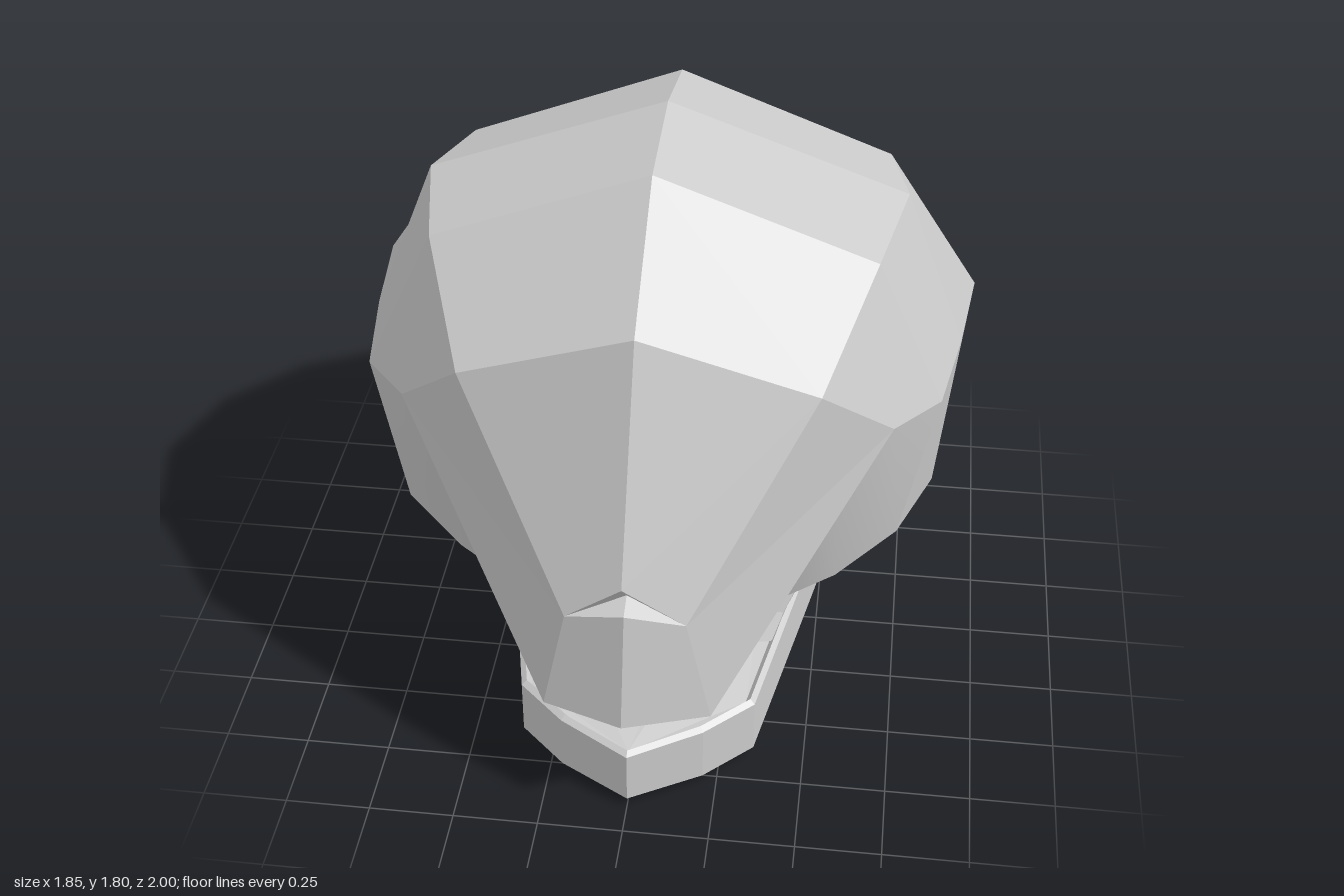
import * as THREE from 'three';
import { toCreasedNormals } from 'three/addons/utils/BufferGeometryUtils.js';

const material = new THREE.MeshStandardMaterial({ color: 0xcccccc });

// One mesh from polygons (corners anticlockwise), each shaded as a single flat panel
function panels(polygons, name) {
  const positions = [], normals = [];
  for (const p of polygons) {
    const [a, b, c, d] = [p[0], p[1], p[2], p[3] ?? p[0]].map((q) => new THREE.Vector3(...q));
    const normal = c.sub(a).cross(d.sub(b)).normalize().toArray();
    for (let i = 1; i < p.length - 1; i++) {
      positions.push(...p[0], ...p[i], ...p[i + 1]);
      normals.push(...normal, ...normal, ...normal);
    }
  }
  const geometry = new THREE.BufferGeometry();
  geometry.setAttribute('position', new THREE.Float32BufferAttribute(positions, 3));
  geometry.setAttribute('normal', new THREE.Float32BufferAttribute(normals, 3));
  const mesh = new THREE.Mesh(geometry, material);
  mesh.name = name;
  return mesh;
}

const flip = ([x, y, z]) => [-x, y, z];

// Add the -x half, keeping the same diagonal in each panel
const mirror = (polygons) => [
  ...polygons,
  ...polygons.map(([first, ...rest]) => [first, ...rest.reverse()].map(flip)),
];

// Close a half outline, running from front centre to back centre, into a ring
const closeRing = (half) => [...half, ...half.slice(1, -1).reverse().map(flip)];

// Side walls through a stack of rings, bottom to top
function loft(rings) {
  const polys = [];
  for (let k = 0; k < rings.length - 1; k++) {
    const lo = rings[k], hi = rings[k + 1], n = lo.length;
    for (let i = 0; i < n; i++) {
      const j = (i + 1) % n;
      polys.push([lo[i], lo[j], hi[j], hi[i]]);
    }
  }
  return polys;
}

// Fill a ring, facing up or down
function cap(ring, up) {
  const contour = ring.map(([x, , z]) => new THREE.Vector2(z, x));
  return THREE.ShapeUtils.triangulateShape(contour, [])
    .map(([a, b, c]) => (up ? [ring[a], ring[b], ring[c]] : [ring[a], ring[c], ring[b]]));
}

function createHead() {
  // Half rows from front to back: crown, temple, side, rim, underside, middle of underside
  const rows = [
    [[0, 1.48, 0.65], [0, 1.76, 0.26], [0, 1.8, -0.1], [0, 1.72, -0.46], [0, 1.53, -0.75], [0, 1.29, -0.945]],
    [[0.5, 1.3, 0.6], [0.63, 1.53, 0.27], [0.7, 1.55, -0.09], [0.64, 1.48, -0.45], [0.5, 1.35, -0.75], [0.28, 1.27, -0.92]],
    [[0.7, 1.1, 0.44], [0.83, 1.1, 0.29], [0.885, 1.08, -0.06], [0.925, 1.06, -0.42], [0.7, 1.04, -0.73], [0.31, 1.03, -0.93]],
    [[0.56, 0.54, 0.42], [0.73, 0.65, 0.33], [0.83, 0.64, 0.05], [0.835, 0.55, -0.38], [0.6, 0.66, -0.65], [0.28, 0.72, -0.88]],
    [[0.42, 0.51, 0.5], [0.56, 0.53, 0.38], [0.58, 0.5, 0.03], [0.67, 0.515, -0.36], [0.4, 0.63, -0.62], [0.2, 0.715, -0.86]],
    [[0, 0.55, 0.5], [0, 0.53, 0.38], [0, 0.5, 0.03], [0, 0.52, -0.32], [0, 0.62, -0.6], [0, 0.715, -0.88]],
  ];
  const polys = [];
  for (let r = 0; r < rows.length - 1; r++) {
    // The first panel below the side row is the hollow cheek, built further down
    for (let i = r === 2 ? 1 : 0; i < 5; i++) {
      polys.push([rows[r + 1][i], rows[r + 1][i + 1], rows[r][i + 1], rows[r][i]]);
    }
  }
  const [crown, temple, side, rim, under, middle] = rows;

  // Back of the head, closing on the centre line
  const nape = [0, 1.02, -1], napeLow = [0, 0.75, -0.92];
  polys.push(
    [crown[5], temple[5], side[5], nape],
    [nape, side[5], rim[5], napeLow],
    [napeLow, rim[5], under[5], middle[5]],
  );

  // Forehead, nose notch, muzzle with its lip, and palate
  const noseTip = [0, 0.87, 0.95], noseCorner = [0.17, 0.71, 0.89], notch = [0, 0.77, 0.85];
  const muzzleTop = [0, 0.745, 0.915], muzzleTip = [0, 0.41, 1], muzzleCorner = [0.24, 0.37, 0.88];
  const lipTip = [0, 0.395, 0.96], lipCorner = [0.23, 0.355, 0.86];
  polys.push(
    [noseTip, noseCorner, temple[0], crown[0]],
    [temple[0], noseCorner, side[0]],
    [side[0], noseCorner, muzzleCorner],
    [noseTip, notch, noseCorner],
    [notch, muzzleTop, noseCorner],
    [muzzleTop, muzzleTip, muzzleCorner, noseCorner],
    [muzzleTip, lipTip, lipCorner, muzzleCorner],
    [lipTip, middle[0], under[0], lipCorner],
  );

  // Hollow cheek behind the muzzle edge, shaded smoothly
  const hollow = [0.55, 0.91, 0.53];
  const cheekPolys = [
    [side[0], muzzleCorner, hollow],
    [hollow, muzzleCorner, under[0]],
    [muzzleCorner, lipCorner, under[0]],
    [side[0], hollow, rim[1]],
    [side[0], rim[1], side[1]],
    [hollow, under[0], rim[0]],
    [hollow, rim[0], rim[1]],
  ];
  const cheeks = panels(mirror(cheekPolys), 'cheeks');
  cheeks.geometry = toCreasedNormals(cheeks.geometry, 0.9);

  const head = new THREE.Group();
  head.name = 'head';
  head.add(panels(mirror(polys), 'cranium'), cheeks);
  return head;
}

function createJaw() {
  const jaw = new THREE.Group();
  jaw.name = 'jaw';

  // Tray with a notched back: half outline [x, z], scaled about its middle for each ring
  const outline = [[0, 0.9], [0.21, 0.78], [0.35, 0.65], [0.5, -0.04], [0.37, -0.06], [0.15, 0.25], [0, 0.25]];
  const ring = (scale, heights) =>
    closeRing(outline.map(([x, z], i) => [x * scale, heights[i], 0.42 + (z - 0.42) * scale]));
  const top = [0.195, 0.205, 0.21, 0.32, 0.33, 0.28, 0.28];
  const rings = [
    ring(0.89, [0, 0, 0.01, 0.11, 0.12, 0.07, 0.07]),
    ring(1, [0.03, 0.03, 0.035, 0.135, 0.17, 0.1, 0.1]),
    ring(1, top),
    ring(0.96, top.map((y) => y + 0.012)),
    ring(0.92, top.map((y) => y - 0.01)),
  ];
  jaw.add(panels([...loft(rings), ...cap(rings[0], false), ...cap(rings[4], true)], 'jawTray'));

  // Hinge block: flat in front, notched behind, leaning back and flaring into the head
  const block = (y, half) => closeRing(half.map(([x, z]) => [x, y, z]));
  const blockRings = [
    block(0.25, [[0, 0.42], [0.33, 0.42], [0.38, 0.41], [0.42, 0.2], [0.47, -0.02], [0.38, -0.03], [0.16, 0.28], [0, 0.28]]),
    block(0.325, [[0, 0.36], [0.35, 0.36], [0.41, 0.36], [0.45, 0.18], [0.5, -0.04], [0.375, -0.055], [0.155, 0.255], [0, 0.255]]),
    block(0.45, [[0, 0.3], [0.37, 0.3], [0.47, 0.3], [0.53, 0.1], [0.565, -0.07], [0.42, -0.11], [0.18, 0.14], [0, 0.14]]),
    block(0.56, [[0, 0.24], [0.38, 0.24], [0.5, 0.25], [0.58, 0.04], [0.61, -0.16], [0.47, -0.24], [0.2, 0.06], [0, 0.06]]),
  ];
  jaw.add(panels([...loft(blockRings), ...cap(blockRings[0], false), ...cap(blockRings[3], true)], 'jawHinge'));
  return jaw;
}

export function createModel() {
  const model = new THREE.Group();
  model.name = 'skull';
  model.add(createHead(), createJaw());
  return model;
}
